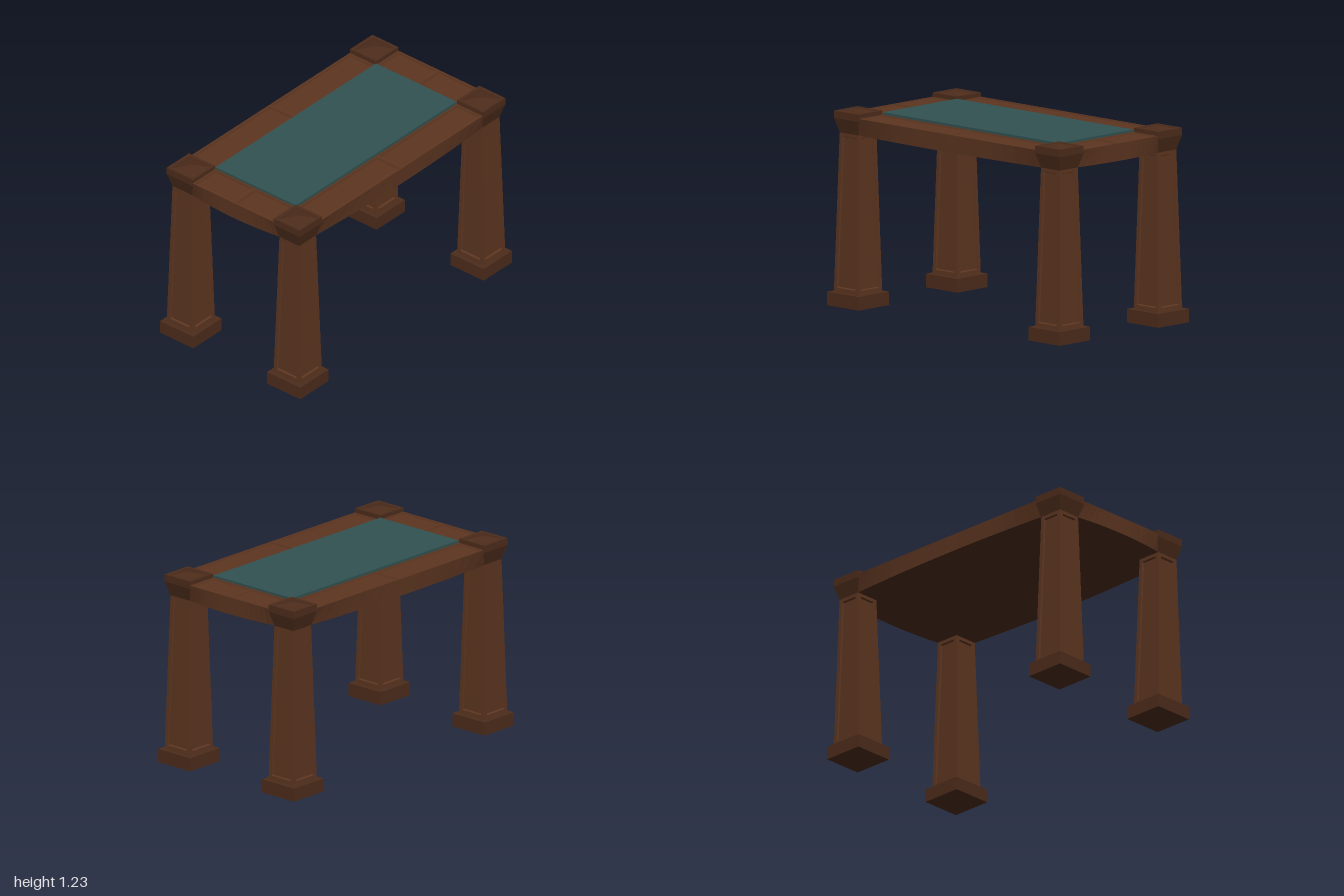
import * as THREE from 'three';

const mat = (color) => new THREE.MeshStandardMaterial({ color, flatShading: true });
const wood = mat(0x5c3520);
const darkWood = mat(0x4d2c1b);
const felt = mat(0x315251);

const LEG_X = 0.865, LEG_Z = 0.433;
const BASE_TOP = 0.085, APRON_BOTTOM = 1.08, RAIL_TOP = 1.19;

// Skins a stack of equal-length point rings; optionally closes the last ring with a fan
function loft(rings, cap = true) {
  const pos = [];
  const tri = (a, b, c) => pos.push(...a, ...b, ...c);
  for (let r = 0; r < rings.length - 1; r++) {
    const a = rings[r], b = rings[r + 1], n = a.length;
    for (let i = 0; i < n; i++) {
      const j = (i + 1) % n;
      tri(a[i], a[j], b[j]);
      tri(a[i], b[j], b[i]);
    }
  }
  if (cap) {
    const l = rings[rings.length - 1];
    for (let i = 1; i < l.length - 1; i++) tri(l[0], l[i], l[i + 1]);
  }
  const g = new THREE.BufferGeometry();
  g.setAttribute('position', new THREE.Float32BufferAttribute(pos, 3));
  g.computeVertexNormals();
  return g;
}

function add(parent, name, geometry, material) {
  const m = new THREE.Mesh(geometry, material);
  m.name = name;
  parent.add(m);
  return m;
}

// Horizontal rectangle, counter-clockwise from above
const rect = (hx, hz, y) => [[hx, y, hz], [hx, y, -hz], [-hx, y, -hz], [-hx, y, hz]];

// One tapered side of a leg with a sunken panel
function legFace() {
  const half = (y) => 0.105 - 0.025 * (y - BASE_TOP) / (APRON_BOTTOM - BASE_TOP);
  const ring = (y0, y1, inset, depth) => {
    const p = (s, y) => [s * (half(y) - inset), y, half(y) - depth];
    return [p(-1, y0), p(1, y0), p(1, y1), p(-1, y1)];
  };
  return loft([
    ring(BASE_TOP, APRON_BOTTOM, 0, 0),
    ring(0.113, 1.058, 0.025, 0),
    ring(0.118, 1.053, 0.028, 0.012),
    ring(0.127, 1.043, 0.039, 0.012),
  ]);
}

function makeLeg() {
  const leg = new THREE.Group();
  leg.name = 'leg';
  const base = add(leg, 'legBase', new THREE.BoxGeometry(0.268, BASE_TOP, 0.268), darkWood);
  base.position.y = BASE_TOP / 2;
  const face = legFace();
  for (let k = 0; k < 4; k++) {
    add(leg, 'legPanel', face, wood).rotation.y = k * Math.PI / 2;
  }
  // Flared cap with a sunken rim around a low pyramid
  const profile = [
    [0.08, APRON_BOTTOM], [0.105, 1.17], [0.105, 1.216], [0.087, 1.216],
    [0.083, 1.204], [0.074, 1.21], [0.001, 1.23],
  ];
  add(leg, 'legCap', loft(profile.map(([h, y]) => rect(h, h, y))), darkWood);
  return leg;
}

// Apron outline; the ends of each side are drawn in by "tuck", giving a bowed edge
function apronOutline(endX, endZ, tuck) {
  const pts = [], N = 16, X = 0.97, Z = 0.538;
  const sides = [
    (t, b) => [X - b, -t * endZ],
    (t, b) => [-t * endX, b - Z],
    (t, b) => [b - X, t * endZ],
    (t, b) => [t * endX, Z - b],
  ];
  const corners = [[1, -1], [-1, -1], [-1, 1], [1, 1]];
  sides.forEach((side, k) => {
    for (let i = 0; i <= N; i++) {
      const t = -1 + 2 * i / N;
      pts.push(side(t, tuck * t * t));
    }
    pts.push([corners[k][0] * LEG_X, corners[k][1] * LEG_Z]);
  });
  return pts;
}

// Rail section with a sunken panel
function railPanel(x0, x1, z0, z1) {
  const hx = (x1 - x0) / 2, hz = (z1 - z0) / 2;
  const ring = (d, y) => rect(hx - d, hz - d, y);
  const g = loft([
    ring(0, RAIL_TOP), ring(0.009, RAIL_TOP), ring(0.013, 1.18), ring(0.022, 1.184),
  ]);
  return g.translate((x0 + x1) / 2, 0, (z0 + z1) / 2);
}

export function createModel() {
  const model = new THREE.Group();
  model.name = 'table';

  // Legs
  for (const sx of [-1, 1]) {
    for (const sz of [-1, 1]) {
      const leg = makeLeg();
      leg.position.set(sx * LEG_X, 0, sz * LEG_Z);
      model.add(leg);
    }
  }

  // Apron and underside
  const bottom = apronOutline(0.785, 0.353, 0.025);
  const top = apronOutline(0.76, 0.328, 0);
  const at = (pts, y) => pts.map(([x, z]) => [x, y, z]);
  add(model, 'apron', loft([at(bottom, APRON_BOTTOM), at(top, RAIL_TOP)], false), wood);
  const under = new THREE.ShapeGeometry(
    new THREE.Shape(bottom.map(([x, z]) => new THREE.Vector2(x, z))));
  under.rotateX(Math.PI / 2).translate(0, APRON_BOTTOM, 0);
  add(model, 'underside', under, darkWood);

  // Top rails
  for (const s of [-1, 1]) {
    const zs = s > 0 ? [0.328, 0.538] : [-0.538, -0.328];
    const xs = s > 0 ? [0.757, 0.97] : [-0.97, -0.757];
    for (const [a, b] of [[-1, 0], [0, 1]]) {
      add(model, 'longRail', railPanel(a * 0.757, b * 0.757, ...zs), wood);
      add(model, 'shortRail', railPanel(...xs, a * 0.328, b * 0.328), wood);
    }
  }

  // Playing surface
  const surface = add(model, 'clothTop', new THREE.BoxGeometry(1.514, 0.035, 0.65), felt);
  surface.position.y = 1.1875;

  return model;
}
